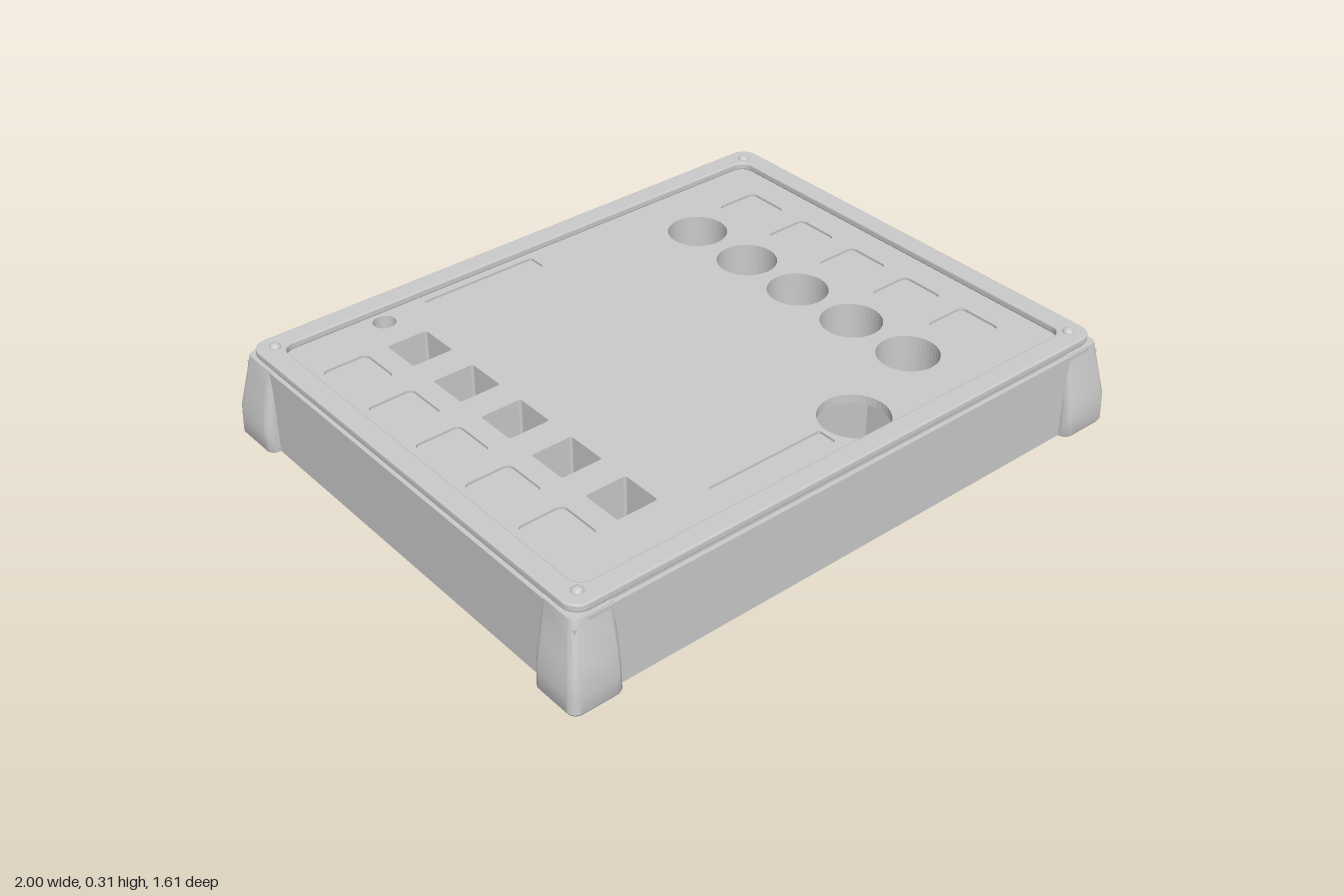
import * as THREE from 'three';
import { toCreasedNormals } from 'three/addons/utils/BufferGeometryUtils.js';

const ROWS = [-0.465, -0.23, 0, 0.232, 0.465];
const BAY = { x0: -0.22, x1: 0.1, z0: -0.742, z1: 0.46, eave: 0.08 };
// Long hollows in the underside, each with a gabled ceiling
const SLOTS = [
  { x0: 0.595, x1: 0.865, z0: -0.69, z1: 0.69, eave: 0.1 },
  { x0: -0.9, x1: -0.67, z0: -0.69, z1: 0.69, eave: 0.1 },
  { x0: 0.155, x1: 0.285, z0: -0.68, z1: 0.42, eave: 0.1 },
];

// Rounded rectangle in plan, centred on (x, z); shape y is -z
function rounded(x, z, w, d, r, path = new THREE.Path()) {
  const a = x - w / 2, b = x + w / 2, c = -z - d / 2, e = -z + d / 2;
  path.moveTo(a + r, c);
  path.lineTo(b - r, c).absarc(b - r, c + r, r, -Math.PI / 2, 0, false);
  path.lineTo(b, e - r).absarc(b - r, e - r, r, 0, Math.PI / 2, false);
  path.lineTo(a + r, e).absarc(a + r, e - r, r, Math.PI / 2, Math.PI, false);
  path.lineTo(a, c + r).absarc(a + r, c + r, r, Math.PI, Math.PI * 1.5, false);
  return path;
}

function round(x, z, r) {
  return new THREE.Path().absarc(x, -z, r, 0, Math.PI * 2, false);
}

function polygon(points) {
  return new THREE.Shape(points.map(([x, y]) => new THREE.Vector2(x, y)));
}

// Upright shape drawn in x and y, extruded from z0 to z1
function upright(points, z0, z1) {
  const g = new THREE.ExtrudeGeometry(polygon(points), { depth: z1 - z0, bevelEnabled: false });
  return g.translate(0, 0, z0);
}

// Case outline, optionally with the wiring bay open at the back
function caseOutline(bay, inset = 0) {
  const W = 0.963 - inset, D = 0.772 - inset;
  if (!bay) return rounded(0, 0, W * 2, D * 2, 0.05, new THREE.Shape());
  return polygon([
    [-W, -D], [W, -D], [W, D], [BAY.x1, D], [BAY.x1, -BAY.z1], [0.34, -BAY.z1], [0.34, -0.7],
    [-0.48, -0.7], [-0.48, -0.55], [BAY.x0, -0.55], [BAY.x0, D], [-W, D],
  ]);
}

// Horizontal slab between two heights
function slab(shape, y0, y1, bevel = 0) {
  const g = new THREE.ExtrudeGeometry(shape, {
    depth: y1 - y0 - bevel * 2, curveSegments: 20, bevelEnabled: bevel > 0,
    bevelThickness: bevel, bevelSize: bevel, bevelOffset: -bevel, bevelSegments: 2,
  });
  g.translate(0, 0, bevel).rotateX(-Math.PI / 2).translate(0, y0, 0);
  return g;
}

export function createModel() {
  const model = new THREE.Group();
  const grey = new THREE.MeshStandardMaterial({ color: 0xcacaca });
  const add = (name, geo) => {
    const m = new THREE.Mesh(geo, grey);
    m.name = name;
    model.add(m);
    return m;
  };

  // Case in layers, each with its own openings
  const layer = (name, y0, y1, o) => {
    const s = caseOutline(o.hollow, o.inset);
    s.holes.push(round(-0.57, -0.65, 0.035));
    if (!o.hollow) s.holes.push(round(0.15, 0.59, 0.105));
    for (const z of ROWS) {
      // Sockets: wide above, narrow below, with a short wire channel underneath
      if (o.deep) s.holes.push(round(0.49, z, 0.094), rounded(-0.57, z, 0.134, 0.134, 0.008));
      else if (o.channels) s.holes.push(rounded(0.475, z, 0.142, 0.112, 0.05), rounded(-0.585, z, 0.1, 0.07, 0.03));
      else s.holes.push(round(0.49, z, 0.056), round(-0.57, z, 0.035));
      if (o.shallow) for (const x of [-0.78, 0.72]) s.holes.push(rounded(x, z, 0.15, 0.15, 0.02));
    }
    if (o.hollow) for (const { x0, x1, z0, z1 } of SLOTS) {
      s.holes.push(rounded((x0 + x1) / 2, (z0 + z1) / 2, x1 - x0, z1 - z0, 0.004));
    }
    // Label recesses
    if (o.shallow) s.holes.push(rounded(-0.215, -0.64, 0.4, 0.065, 0.006), rounded(-0.17, 0.61, 0.4, 0.065, 0.006));
    add(name, slab(s, y0, y1));
  };
  layer('caseUnderside', 0, 0.03, { hollow: true, channels: true });
  layer('caseBase', 0.03, 0.13, { hollow: true });
  layer('caseMiddle', 0.13, 0.25, { hollow: true, deep: true });
  layer('caseTop', 0.25, 0.271, { deep: true });
  layer('controlPanel', 0.271, 0.279, { deep: true, shallow: true, inset: 0.013 });

  // Gabled ceilings of the hollows, at 45 degrees
  for (const { x0, x1, z0, z1, eave } of [BAY, ...SLOTS]) {
    const mid = (x0 + x1) / 2, peak = eave + (x1 - x0) / 2, top = 0.251;
    add('gableRight', upright([[x0, eave], [mid, peak], [mid, top], [x0, top]], z0, z1));
    add('gableLeft', upright([[x1, eave], [x1, top], [mid, top], [mid, peak]], z0, z1));
  }

  // Back wall of the bay with a gabled cable opening
  const n = -0.06, w = 0.075;
  add('backWall', upright([
    [BAY.x0, 0], [n - w, 0], [n - w, 0.125], [n, 0.2], [n + w, 0.125], [n + w, 0],
    [BAY.x1, 0], [BAY.x1, 0.25], [BAY.x0, 0.25],
  ], -0.772, BAY.z0));

  // Raised rim around the panel
  const rim = rounded(0, 0, 1.914, 1.524, 0.05, new THREE.Shape());
  rim.holes.push(rounded(0, 0, 1.78, 1.39, 0.04));
  add('rim', slab(rim, 0.279, 0.303, 0.005));

  // Tapered corner feet, swelling out of the walls
  const size = 0.168;
  const out = (y) => {
    if (y < 0.01) return size - 0.006 + y * 0.6;
    if (y < 0.1) return size - (y - 0.01) * 0.03;
    return size - 0.003 - (y - 0.1) * 0.19;
  };
  const levels = [0, 0.01, 0.06, 0.1, 0.15, 0.21, 0.275];
  for (const sx of [-1, 1]) for (const sz of [-1, 1]) {
    const s = rounded(size / 2, size / 2, size, size, 0.028, new THREE.Shape());
    const g = new THREE.ExtrudeGeometry(s, { depth: 6, steps: 6, bevelEnabled: false, curveSegments: 6 });
    g.rotateX(-Math.PI / 2);
    const p = g.attributes.position;
    for (let i = 0; i < p.count; i++) {
      const y = levels[Math.round(p.getY(i))], k = out(y) / size;
      p.setXYZ(i, p.getX(i) * k, y, p.getZ(i) * k);
    }
    // Turn, rather than mirror, the foot into its corner
    const turn = sx > 0 ? (sz > 0 ? 0 : Math.PI / 2) : (sz > 0 ? -Math.PI / 2 : Math.PI);
    g.rotateY(turn).translate(sx * (1 - size), 0, sz * (0.805 - size));
    add('cornerFoot', toCreasedNormals(g, 0.6));

    // Small screw head on the rim
    const screw = add('screw', new THREE.SphereGeometry(0.018, 12, 6, 0, Math.PI * 2, 0, Math.PI / 2));
    screw.scale.y = 0.7;
    screw.position.set(sx * 0.903, 0.302, sz * 0.708);
  }
  return model;
}
